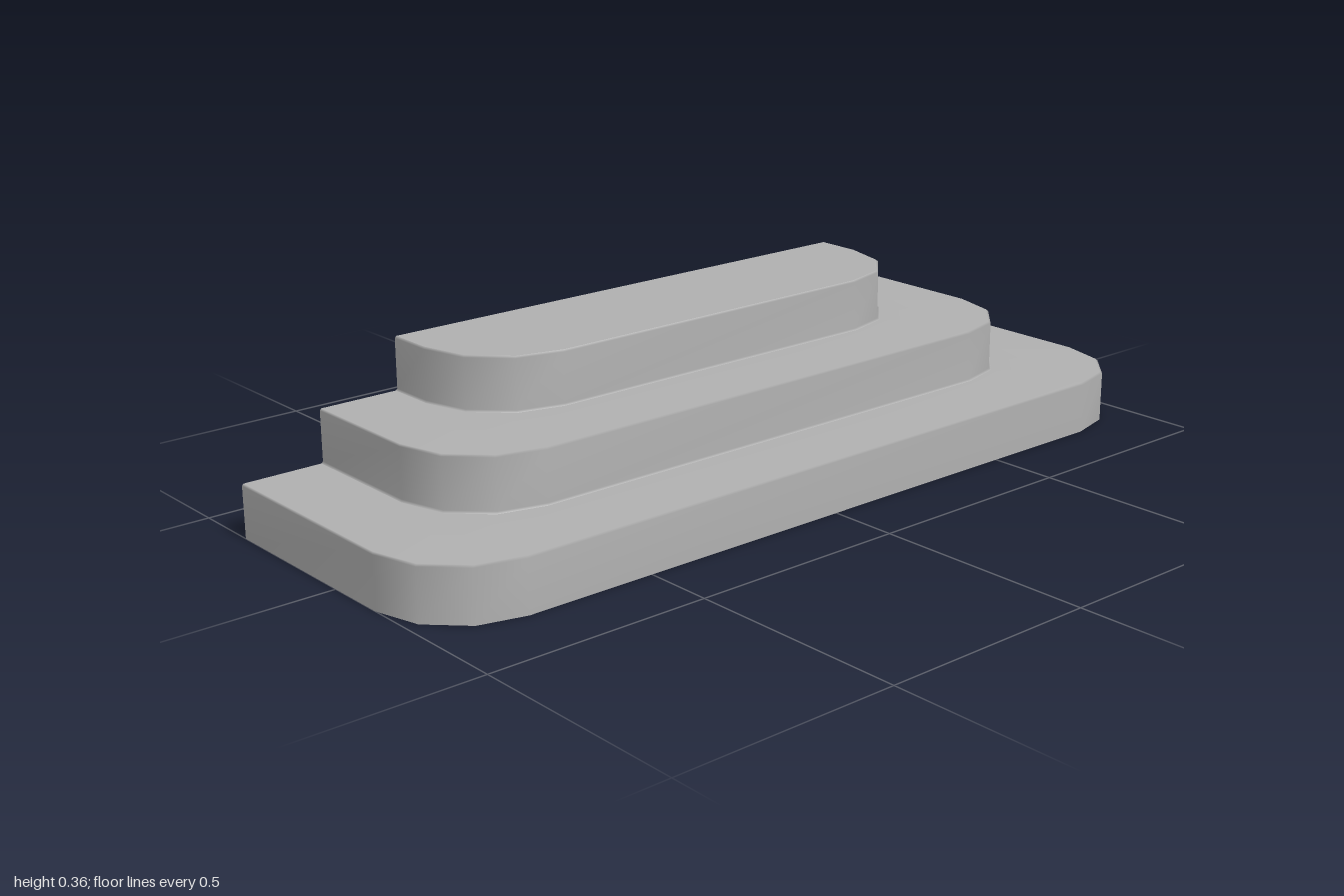
import * as THREE from 'three';

const BACK = -0.345, RIGHT = 0.345, HALF = 1, RADIUS = 0.205;
const STEP_H = 0.1185, STEP_IN = 0.188, BEVEL = 0.004;

// U-shaped plan outline, open along the wall side, with two three-sided corners
function outline(inset) {
  const x = RIGHT - inset - RADIUS, z = HALF - inset - RADIUS;
  const points = [[BACK, z + RADIUS]];
  for (const side of [1, -1]) {
    for (let i = 0; i <= 3; i++) {
      const a = (side > 0 ? 3 - i : i) * Math.PI / 6;
      points.push([x + RADIUS * Math.cos(a), side * (z + RADIUS * Math.sin(a))]);
    }
  }
  points.push([BACK, -z - RADIUS]);
  return points;
}

// Skin through the outlines of a profile of [inset, height] pairs
function loft(profile) {
  const positions = [], index = [];
  profile.forEach(([inset, y], r) => {
    const ring = outline(inset), n = ring.length;
    ring.forEach(([x, z], c) => {
      positions.push(x, y, z);
      if (r > 0 && c > 0) {
        const d = r * n + c, a = d - n - 1;
        index.push(a, a + 1, d, a, d, d - 1);
      }
    });
  });
  const geometry = new THREE.BufferGeometry();
  geometry.setAttribute('position', new THREE.Float32BufferAttribute(positions, 3));
  geometry.setIndex(index);
  geometry.computeVertexNormals();
  return geometry;
}

export function createModel() {
  const group = new THREE.Group();
  group.name = 'steps';
  const stone = new THREE.MeshStandardMaterial({ color: 0xb0b0b0, side: THREE.DoubleSide });
  stone.name = 'grey stone';
  const add = (name, geometry) => {
    const mesh = new THREE.Mesh(geometry, stone);
    mesh.name = name;
    group.add(mesh);
    return mesh;
  };

  // Each step: riser with a softened nose, then its tread
  ['lowerStep', 'middleStep', 'upperStep'].forEach((name, i) => {
    const d = i * STEP_IN, y = i * STEP_H, top = y + STEP_H;
    const foot = i ? [[d - BEVEL, y], [d, y + BEVEL]] : [[0, 0]];
    const profile = [...foot, [d, top - BEVEL], [d + BEVEL, top]];
    if (i < 2) profile.push([d + STEP_IN - BEVEL, top]);
    add(name, loft(profile));
  });

  // Flat landing closing the top step
  const shape = new THREE.Shape(outline(2 * STEP_IN + BEVEL).map(([x, z]) => new THREE.Vector2(x, -z)));
  add('landing', new THREE.ShapeGeometry(shape).rotateX(-Math.PI / 2)).position.y = 3 * STEP_H;

  return group;
}
